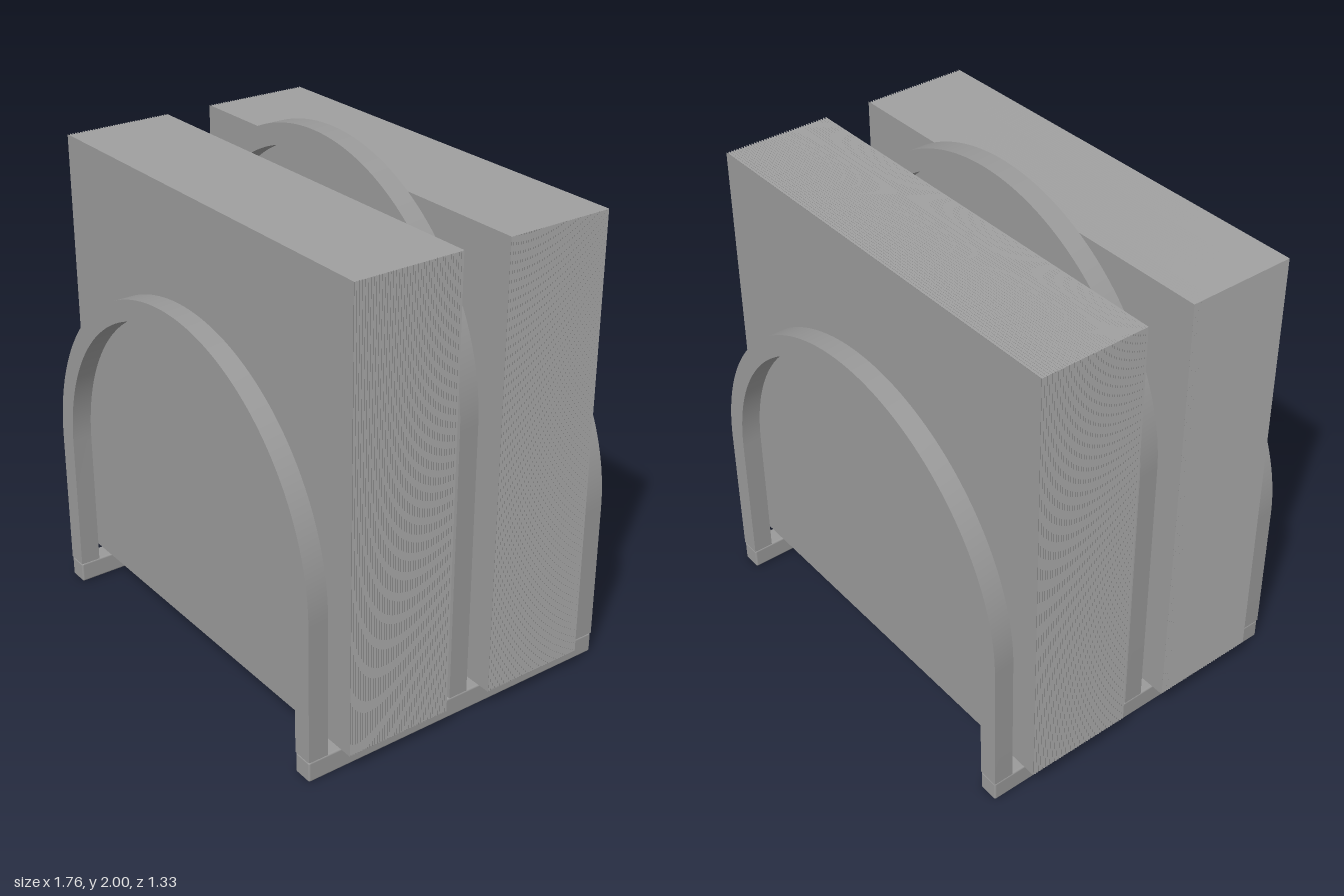
import * as THREE from 'three';
import { toCreasedNormals } from 'three/addons/utils/BufferGeometryUtils.js';
import { RoundedBoxGeometry } from 'three/addons/geometries/RoundedBoxGeometry.js';

const OUTER = 0.83, INNER = 0.75, BAR = 0.08, RAIL_TOP = 0.083;

// Upright arch: two straight legs joined by a semicircle
function archGeometry(top) {
  const spring = top - OUTER;
  const shape = new THREE.Shape();
  shape.moveTo(OUTER, RAIL_TOP);
  shape.lineTo(OUTER, spring);
  shape.absarc(0, spring, OUTER, 0, Math.PI, false);
  shape.lineTo(-OUTER, RAIL_TOP);
  shape.lineTo(-INNER, RAIL_TOP);
  shape.lineTo(-INNER, spring);
  shape.absarc(0, spring, INNER, Math.PI, 0, true);
  shape.lineTo(INNER, RAIL_TOP);
  shape.closePath();
  const geometry = new THREE.ExtrudeGeometry(shape, { depth: BAR, bevelEnabled: false, curveSegments: 48 });
  geometry.translate(0, 0, -BAR / 2);
  return toCreasedNormals(geometry, 0.5);
}

// Block of folded sheets: every second ring along z is drawn in, leaving fine ridges
function stackGeometry(width, height, depth, sheets) {
  const inset = 0.005;
  const box = new THREE.BoxGeometry(width, height, depth, 1, 1, sheets * 2);
  const pos = box.attributes.position;
  for (let i = 0; i < pos.count; i++) {
    const ring = Math.round((pos.getZ(i) / depth + 0.5) * sheets * 2);
    if (ring % 2 === 0) continue;
    pos.setX(i, pos.getX(i) - Math.sign(pos.getX(i)) * inset);
    if (pos.getY(i) > 0) pos.setY(i, pos.getY(i) - inset);
  }
  const geometry = box.toNonIndexed();
  geometry.computeVertexNormals();
  return geometry;
}

export function createModel() {
  const model = new THREE.Group();
  model.name = 'napkinHolder';
  const grey = new THREE.MeshStandardMaterial({ color: 0x999999 });
  grey.name = 'grey';

  function add(name, geometry, x, y, z) {
    const mesh = new THREE.Mesh(geometry, grey);
    mesh.name = name;
    mesh.position.set(x, y, z);
    model.add(mesh);
  }

  // Base rails
  const rail = new RoundedBoxGeometry(BAR, RAIL_TOP, 1.33, 2, 0.008);
  add('leftRail', rail, 0.79, RAIL_TOP / 2, 0);
  add('rightRail', rail, -0.79, RAIL_TOP / 2, 0);

  // Low outer arches and the tall middle one
  const lowArch = archGeometry(1.47);
  add('frontArch', lowArch, 0, 0, 0.625);
  add('backArch', lowArch, 0, 0, -0.625);
  add('middleArch', archGeometry(2), 0, 0, 0);

  // Napkin stacks
  const stack = stackGeometry(1.765, 1.765, 0.432, 40);
  const stackY = RAIL_TOP + 1.765 / 2;
  add('frontNapkins', stack, 0, stackY, 0.314);
  add('backNapkins', stack, 0, stackY, -0.314);
  return model;
}
